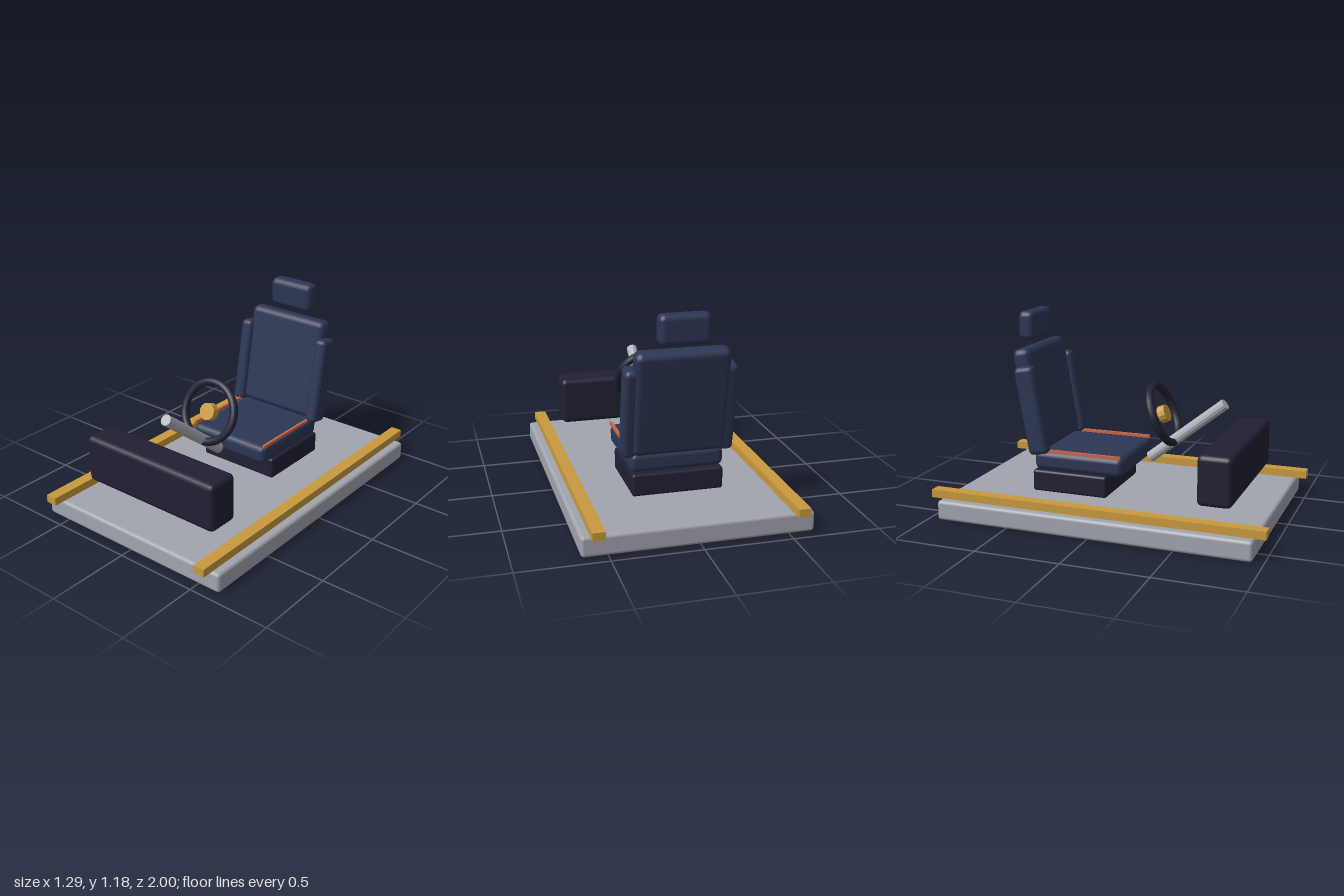
import * as THREE from 'three';
import { RoundedBoxGeometry } from 'three/addons/geometries/RoundedBoxGeometry.js';

const material = (name, color, flatShading = false) => {
  const m = new THREE.MeshStandardMaterial({ color, flatShading });
  m.name = name;
  return m;
};

export function createModel() {
  const model = new THREE.Group();
  model.name = 'driverSeatRig';

  const grey = material('platformGrey', 0xa3a5ae);
  const navy = material('upholsteryNavy', 0x2c3654);
  const dark = material('trimDark', 0x212033);
  const gold = material('railGold', 0xc99a3e, true);
  const steel = material('columnSteel', 0xadb1b8, true);
  const orange = material('pipingOrange', 0xcc6648);

  const add = (name, geometry, mat, position, tilt = 0) => {
    const mesh = new THREE.Mesh(geometry, mat);
    mesh.name = name;
    mesh.position.set(...position);
    mesh.rotation.x = tilt;
    model.add(mesh);
    return mesh;
  };
  const rounded = (w, h, d, r) => new RoundedBoxGeometry(w, h, d, 2, r);

  // Platform and its two long rails
  add('platform', rounded(1.29, 0.118, 1.88, 0.02), grey, [0, 0.059, 0]);
  for (const [side, s] of [['left', 1], ['right', -1]]) {
    add(side + 'Rail', new THREE.BoxGeometry(0.07, 0.047, 2), gold, [s * 0.56, 0.1415, 0]);
  }

  // Seat: pedestal, cushion, reclined back, head support
  const recline = -0.175;
  add('seatPedestal', rounded(0.53, 0.13, 0.47, 0.015), dark, [0, 0.181, -0.265]);
  add('seatCushion', rounded(0.54, 0.115, 0.56, 0.035), navy, [0, 0.308, -0.208]);
  add('backrest', rounded(0.54, 0.62, 0.112, 0.04), navy, [0, 0.667, -0.517], recline);
  add('headrest', rounded(0.292, 0.173, 0.1, 0.035), navy, [0, 1.091, -0.588]);

  // Side bolsters and cushion piping
  for (const [side, s] of [['left', 1], ['right', -1]]) {
    add(side + 'Bolster', rounded(0.08, 0.53, 0.125, 0.03), navy, [s * 0.281, 0.615, -0.485], recline);
    add(side + 'Piping', new THREE.BoxGeometry(0.016, 0.018, 0.5), orange, [s * 0.263, 0.371, -0.192]);
  }

  // Dashboard block
  add('dashboard', rounded(0.938, 0.29, 0.2, 0.03), dark, [0, 0.356, 0.677]);

  // Steering column rises toward the front
  add('steeringColumn', new THREE.CylinderGeometry(0.033, 0.033, 0.58, 12), steel,
    [0, 0.502, 0.382], Math.PI / 2 - 0.675);

  // Steering wheel and hub share one tilt
  const wheelTilt = -0.4;
  add('steeringWheel', new THREE.TorusGeometry(0.176, 0.024, 10, 40), dark, [0, 0.593, 0.238], wheelTilt);
  add('wheelHub', new THREE.CylinderGeometry(0.052, 0.052, 0.046, 12), gold,
    [0, 0.593, 0.238], Math.PI / 2 + wheelTilt);

  return model;
}
